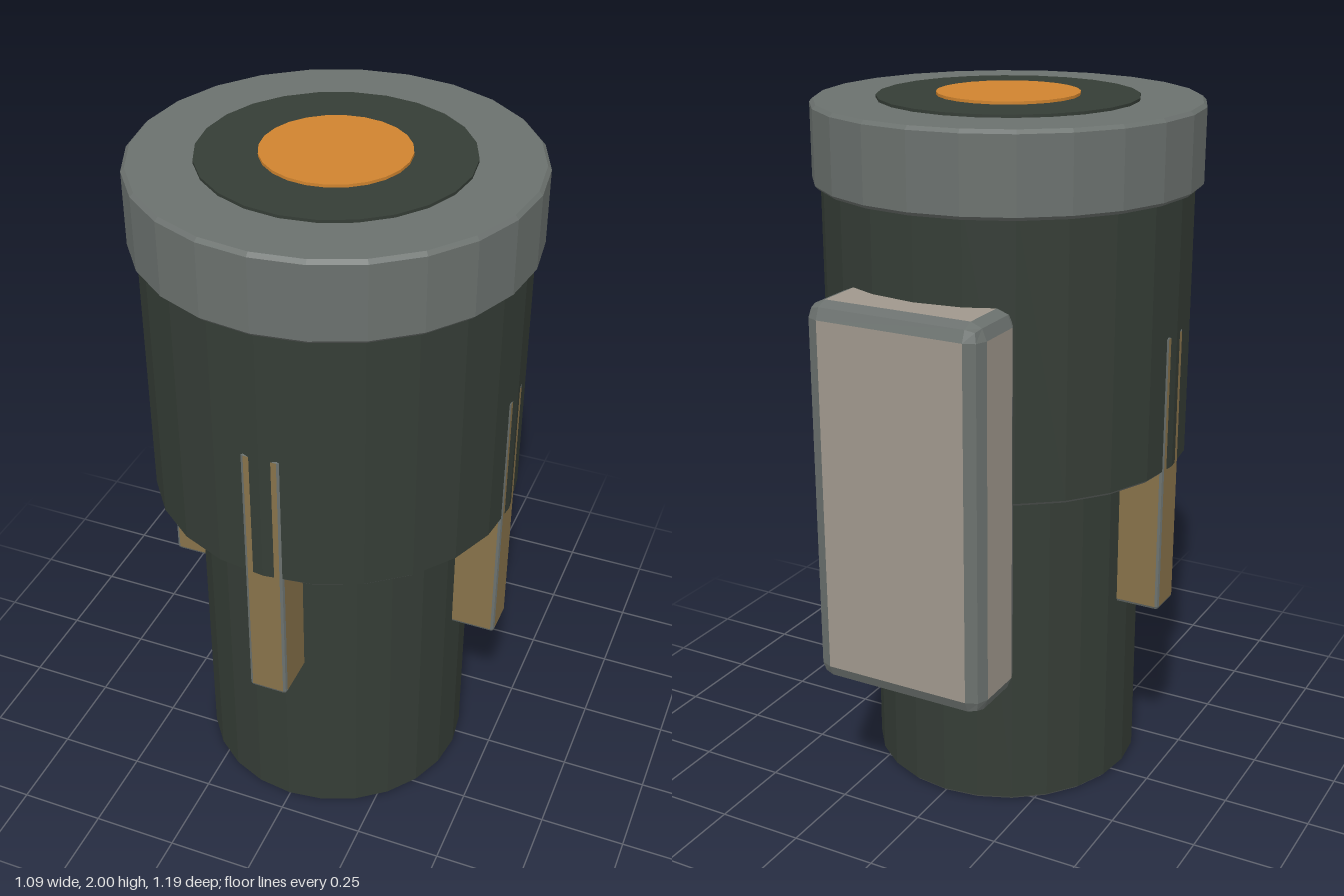
import * as THREE from 'three';
import { RoundedBoxGeometry } from 'three/addons/geometries/RoundedBoxGeometry.js';

const AXIS_Z = 0.05; // centre line of the round parts

function material(name, color) {
  const m = new THREE.MeshStandardMaterial({ color });
  m.name = name;
  return m;
}

// Facets a geometry and sorts its triangles into flat faces (group 0) and bevels (group 1)
function facet(source, isFace) {
  const geo = source.index ? source.toNonIndexed() : source;
  const pos = geo.attributes.position;
  const sets = [[], []];
  const tri = new THREE.Triangle();
  const n = new THREE.Vector3();
  for (let i = 0; i < pos.count; i += 3) {
    tri.setFromAttributeAndIndices(pos, i, i + 1, i + 2);
    if (tri.getArea() < 1e-9) continue;
    tri.getNormal(n);
    const set = sets[isFace(n) ? 0 : 1];
    for (const p of [tri.a, tri.b, tri.c]) set.push(p.x, p.y, p.z);
  }
  const out = new THREE.BufferGeometry();
  out.setAttribute('position', new THREE.Float32BufferAttribute([...sets[0], ...sets[1]], 3));
  out.addGroup(0, sets[0].length / 3, 0);
  out.addGroup(sets[0].length / 3, sets[1].length / 3, 1);
  out.computeVertexNormals();
  return out;
}

function bevelledDrum(radius, y0, y1, bevel) {
  const profile = [
    [0, y0], [radius - bevel, y0], [radius, y0 + bevel],
    [radius, y1 - bevel], [radius - bevel, y1], [0, y1],
  ].map(([x, y]) => new THREE.Vector2(x, y));
  return facet(new THREE.LatheGeometry(profile, 24),
    (n) => Math.abs(n.y) > 0.98 || Math.abs(n.y) < 0.02);
}

function bevelledBox(w, h, d, bevel) {
  return facet(new RoundedBoxGeometry(w, h, d, 1, bevel),
    (n) => Math.max(Math.abs(n.x), Math.abs(n.y), Math.abs(n.z)) > 0.98);
}

export function createModel() {
  const dark = material('dark green', 0x353d36);
  const grey = material('edge grey', 0x6b716e);
  const brass = material('brass', 0x88724a);
  const taupe = material('taupe', 0xa0988d);
  const orange = material('orange', 0xd0842f);

  const model = new THREE.Group();
  const add = (name, geo, mat, parent = model) => {
    const mesh = new THREE.Mesh(geo, mat);
    mesh.name = name;
    parent.add(mesh);
    return mesh;
  };

  // Round parts stacked on one axis
  const barrel = new THREE.Group();
  barrel.name = 'barrel';
  barrel.position.z = AXIS_Z;
  model.add(barrel);
  add('lowerTube', bevelledDrum(0.395, 0, 1.05, 0.01), [dark, grey], barrel);
  add('upperBody', bevelledDrum(0.52, 0.985, 1.8, 0.008), [dark, grey], barrel);
  add('capRing', bevelledDrum(0.543, 1.755, 1.98, 0.01), [grey, grey], barrel);

  // Thin discs on the cap
  const disc = (name, radius, top, mat) => {
    const geo = new THREE.CylinderGeometry(radius, radius, 0.009, 24);
    add(name, geo, mat, barrel).position.y = top - 0.0045;
  };
  disc('topDisc', 0.362, 1.988, dark);
  disc('topButton', 0.198, 1.996, orange);

  // Four ribs around the tube, running up into the body
  const ribGeo = bevelledBox(0.112, 0.82, 0.15, 0.01);
  for (let i = 0; i < 4; i++) {
    const angle = (i * Math.PI) / 2;
    const rib = add('rib', ribGeo, [brass, grey], barrel);
    rib.position.set(Math.sin(angle) * 0.441, 0.975, Math.cos(angle) * 0.441);
    rib.rotation.y = angle;
  }

  // Box on the back
  const box = add('backBox', bevelledBox(0.52, 1.09, 0.225, 0.045), [taupe, grey]);
  box.position.set(0, 0.982, -0.485);

  return model;
}
